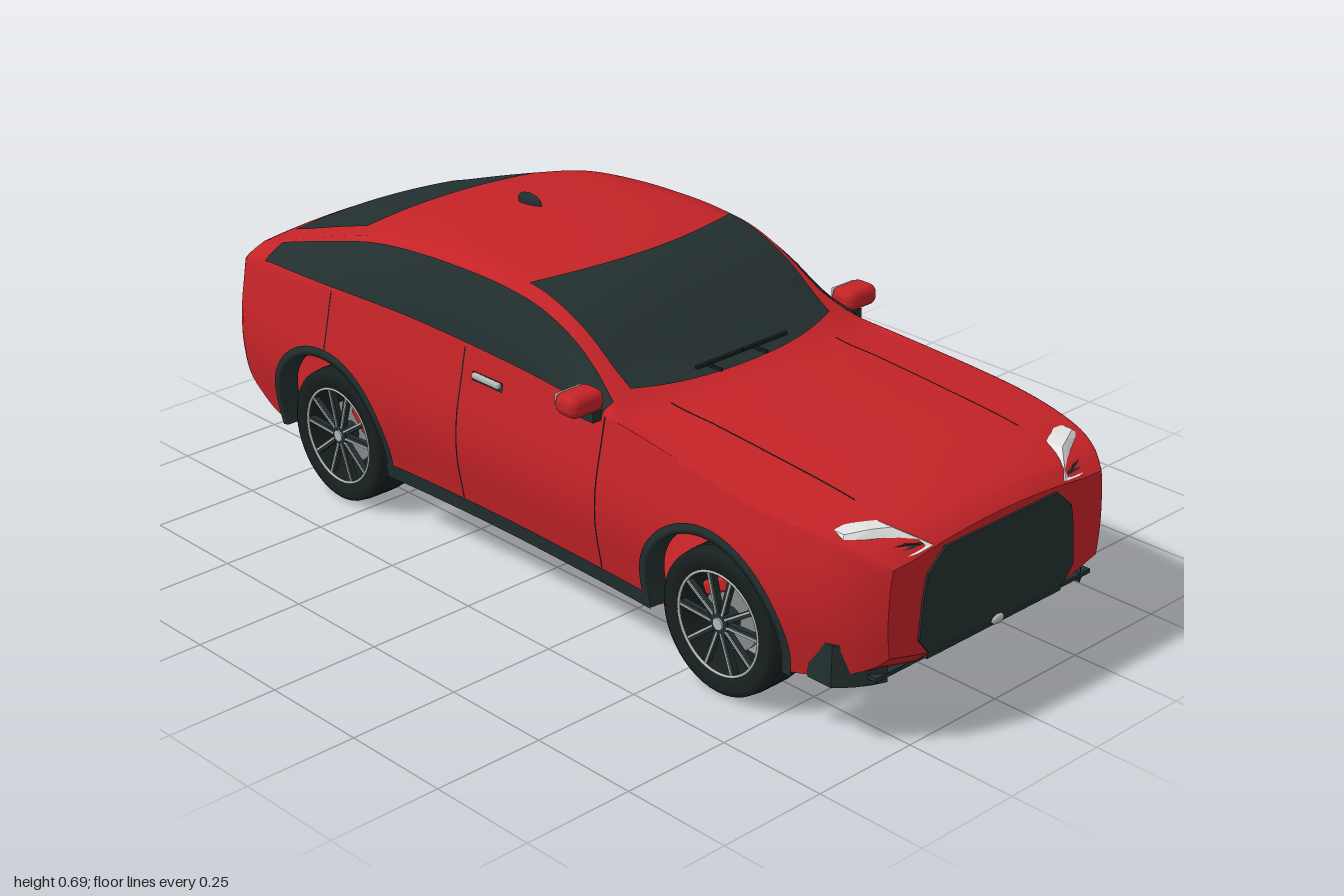
import * as THREE from 'three';
import { RoundedBoxGeometry } from 'three/addons/geometries/RoundedBoxGeometry.js';

const paint = (name, color) => {
  const m = new THREE.MeshStandardMaterial({ color, side: THREE.DoubleSide });
  m.name = name;
  return m;
};

// Smooth interpolation through [position, value] pairs
function curve(pts) {
  const slope = pts.map((p, i) => {
    const a = pts[Math.max(i - 1, 0)], b = pts[Math.min(i + 1, pts.length - 1)];
    return (b[1] - a[1]) / (b[0] - a[0]);
  });
  return (t) => {
    t = Math.min(Math.max(t, pts[0][0]), pts[pts.length - 1][0]);
    let i = 0;
    while (i < pts.length - 2 && t > pts[i + 1][0]) i++;
    const h = pts[i + 1][0] - pts[i][0], s = (t - pts[i][0]) / h, s2 = s * s, s3 = s2 * s;
    return (2 * s3 - 3 * s2 + 1) * pts[i][1] + (s3 - 2 * s2 + s) * h * slope[i]
      + (3 * s2 - 2 * s3) * pts[i + 1][1] + (s3 - s2) * h * slope[i + 1];
  };
}

// Body rules along z: half width, floor, shoulder, centre line, roof rail
const width = curve([[-1, .31], [-.97, .345], [-.9, .378], [-.75, .405], [-.58, .413], [-.3, .395], [0, .39], [.3, .398], [.6, .412], [.75, .408], [.88, .382], [.95, .35], [.99, .315]]);
const floorY = curve([[-1, .19], [-.98, .18], [-.9, .145], [-.8, .108], [-.6, .095], [.7, .095], [.81, .1], [.92, .13], [.97, .155], [.99, .175]]);
const beltY = curve([[-1, .44], [-.9, .475], [-.8, .495], [-.5, .505], [0, .495], [.3, .485], [.5, .47], [.8, .443], [.92, .423], [.99, .39]]);
const topY = curve([[-1, .47], [-.955, .505], [-.84, .544], [-.66, .603], [-.5, .648], [-.34, .669], [-.18, .676], [-.07, .673], [.035, .658], [.14, .615], [.25, .54], [.32, .503], [.46, .493], [.6, .483], [.81, .465], [.92, .445], [.97, .428], [.99, .41]]);
const railX = curve([[-1, .265], [-.9, .29], [-.8, .3], [-.3, .302], [0, .302], [.2, .31], [.3, .335], [.45, .345], [.8, .34], [.92, .305], [.99, .25]]);
const sideProfile = curve([[.09, .93], [.155, .955], [.26, 1], [.345, .995], [.42, .96], [.47, .935], [.52, .91]]);
const sideX = (y, z) => width(z) * sideProfile(y);
const CROWN = .018;
const roofY = (x, z) => topY(z) - CROWN * Math.min(1, (x / railX(z)) ** 2);
// Point between shoulder (s = 0) and roof rail (s = 1)
const cabinSide = (s, z) => {
  const b = beltY(z), x0 = sideX(b, z), y1 = topY(z) - CROWN;
  return [x0 + (railX(z) - x0) * s + .008 * Math.sin(Math.PI * s), b + (y1 - b) * s, z];
};

const WHEELS = [.61, -.58], ARCH_Y = .17, ARCH_R = .183;

// Grid surface from rows of points
function grid(rows) {
  const n = rows[0].length, index = [];
  for (let i = 0; i < rows.length - 1; i++)
    for (let j = 0; j < n - 1; j++) {
      const a = i * n + j, b = a + n;
      index.push(a, a + 1, b, b, a + 1, b + 1);
    }
  const g = new THREE.BufferGeometry();
  g.setAttribute('position', new THREE.Float32BufferAttribute(rows.flat(2), 3));
  g.setIndex(index);
  g.computeVertexNormals();
  return g;
}
const patch = (nu, nv, f) => grid(Array.from({ length: nu + 1 }, (_, i) =>
  Array.from({ length: nv + 1 }, (_, j) => f(i / nu, j / nv))));

// Stations along z, doubled where an arch begins and ends
function stations() {
  const list = [];
  for (let i = 0; i <= 100; i++) {
    const z = -1 + 1.99 * i / 100;
    if (WHEELS.every((c) => Math.abs(z - c) > ARCH_R + .004)) list.push({ z });
  }
  for (const c of WHEELS) {
    list.push({ z: c - ARCH_R - 1e-4 }, { z: c + ARCH_R + 1e-4 });
    for (let k = 0; k <= 24; k++) {
      const a = Math.PI * k / 24;
      list.push({ z: c - ARCH_R * Math.cos(a), arch: ARCH_Y + ARCH_R * Math.sin(a) });
    }
  }
  return list.sort((p, q) => p.z - q.z);
}
function shellRow({ z, arch }) {
  const low = arch ?? floorY(z) + .03, b = beltY(z), half = [];
  for (let i = 0; i < 12; i++) {
    const y = low + (b - low) * i / 12;
    half.push([sideX(y, z), y, z]);
  }
  for (let i = 0; i < 6; i++) half.push(cabinSide(i / 6, z));
  for (let i = 0; i <= 8; i++) {
    const x = railX(z) * (1 - i / 8);
    half.push([x, roofY(x, z), z]);
  }
  return [...half, ...half.slice(0, -1).reverse().map(([x, y, w]) => [-x, y, w])];
}
function floorRow({ z, arch }) {
  const f = floorY(z), e = arch ? .25 : sideX(f + .03, z), m = arch ? .249 : width(z) * .62;
  return [[-e, arch ? f : f + .03, z], [-m, f, z], [0, f, z], [m, f, z], [e, arch ? f : f + .03, z]];
}

export function createModel() {
  const red = paint('body red', 0xc42327), dark = paint('dark trim and glass', 0x232f2f),
    black = paint('tyre black', 0x182020), silver = paint('silver', 0xb4b8b8),
    white = paint('lamp white', 0xe2e4e4), grey = paint('disc grey', 0x858a8a);
  const car = new THREE.Group();
  car.name = 'car';
  const add = (name, geo, mat, pos = [0, 0, 0], parent = car) => {
    const m = new THREE.Mesh(geo, mat);
    m.name = name;
    m.position.set(...pos);
    parent.add(m);
    return m;
  };
  const box = (w, h, d) => new THREE.BoxGeometry(w, h, d);

  // Body shell, floor and end caps
  const st = stations();
  add('bodyShell', grid(st.map(shellRow)), red);
  add('floor', grid(st.map(floorRow)), red);
  for (const [name, s] of [['frontFace', st[st.length - 1]], ['rearFace', st[0]]]) {
    const ring = [...shellRow(s), ...floorRow(s)];
    ring.push(ring[0]);
    add(name, grid([ring, ring.map(() => [0, .3, s.z])]), red);
  }

  // Windscreen and rear window
  add('windscreen', patch(30, 20, (u, v) => {
    const k = u * 2 - 1, x = .29 * k, z = .02 - .05 * k * k + .3 * v;
    return [x, roofY(x, z) + .005, z];
  }), dark);
  add('rearWindow', patch(20, 20, (u, v) => {
    const k = u * 2 - 1, x = k * (.25 - .015 * v), z = -.625 + .015 * k * k - .285 * v;
    return [x, roofY(x, z) + .004, z];
  }), dark);

  // Grille, bumper line and front ornament
  const plate = (pts, depth) => new THREE.ExtrudeGeometry(
    new THREE.Shape(pts.map((p) => new THREE.Vector2(...p))), { depth, bevelEnabled: false });
  const half = [[.2, .178], [.23, .215], [.222, .3], [.212, .35], [.165, .392]];
  add('grille', plate([...half, ...half.map(([x, y]) => [-x, y]).reverse()], .009), dark, [0, 0, .986]);
  add('bumperLine', box(.64, .009, .05), dark, [0, .155, .945]);
  add('bumperLip', box(.4, .008, .03), dark, [0, .167, .975]);
  add('frontOrnament', new THREE.SphereGeometry(.012, 16, 10).scale(1.5, .9, .6), silver, [0, .177, .995]);

  // Wipers and roof fin
  for (const x of [-.066, .066]) {
    const w = add('wiper', box(.13, .006, .008), black, [x, roofY(x, .295) + .012, .295]);
    add('wiperArm', box(.006, .006, .04), black, [-.03, -.004, .018], w);
  }
  add('roofFin', new THREE.SphereGeometry(1, 16, 12).scale(.009, .02, .038), dark, [0, .672, -.355]);

  // Rear plate, bumper inserts and under vent
  add('plateFrame', box(.128, .088, .006), dark, [0, .315, -1.001]);
  add('numberPlate', box(.118, .078, .006), silver, [0, .315, -1.004]);
  add('rearOrnament', new THREE.TorusGeometry(.011, .003, 8, 20).scale(1.3, .8, 1), silver, [0, .257, -1.003]);
  add('rearInsert', box(.3, .042, .012), dark, [0, .219, -.998]);
  add('underVent', box(.4, .01, .06), dark, [0, .107, -.775]);
  for (let i = 0; i < 9; i++) add('ventFin', box(.012, .02, .1), dark, [-.18 + i * .045, .103, -.775]);

  // Parts bent around the front corner
  const cornerPlate = (pts, depth, rake, lift = 0) => {
    const g = plate(pts, depth), p = g.attributes.position;
    for (let i = 0; i < p.count; i++) {
      const x = p.getX(i), y = p.getY(i);
      p.setZ(i, p.getZ(i) - depth + .995 + lift - 2.6 * Math.max(0, x - .19) ** 2 - rake * (y - .4));
    }
    g.computeVertexNormals();
    return g;
  };

  // Everything that exists on both sides
  for (const side of [1, -1]) {
    const s = new THREE.Group();
    s.name = side > 0 ? 'leftSide' : 'rightSide';
    s.scale.x = side;
    car.add(s);
    const put = (name, geo, mat, pos) => add(name, geo, mat, pos, s);
    const onSide = (y, z, off) => [sideX(y, z) + off, y, z];

    put('sideWindow', patch(70, 10, (u, v) => {
      const z = .275 - 1.115 * u, p = cabinSide(.05 + .85 * v, z);
      return [p[0] + .004, p[1] + .002, z];
    }), dark);
    put('sill', patch(40, 3, (u, v) => onSide(.12 + .036 * v, .43 - .83 * u, .006)), dark);
    for (const [z, low] of [[.28, .155], [-.155, .155], [-.58, .36]])
      put('panelGap', patch(14, 1, (u, v) => onSide(low + (beltY(z) - low) * u, z + .004 * v, .002)), black);
    put('hoodGap', patch(30, 1, (u, v) => {
      const x = .238 + .004 * v, z = .335 + .495 * u;
      return [x, roofY(x, z) + .002, z];
    }), black);
    put('handleRecess', patch(8, 3, (u, v) => onSide(.438 + .02 * v, -.025 - .095 * u, .003)), dark);
    put('doorHandle', new RoundedBoxGeometry(.012, .014, .085, 3, .005), silver, [sideX(.45, -.07) + .007, .451, -.072]);

    // Headlight and corner intake
    put('headlight', cornerPlate([[.195, .404], [.24, .4], [.3, .398], [.35, .399], [.357, .415], [.335, .438], [.29, .442], [.25, .44], [.22, .422]], .04, 1.3), white);
    put('headlightStrip', cornerPlate([[.215, .411], [.25, .409], [.3, .408], [.352, .407], [.353, .412], [.3, .414], [.25, .416]], .01, 1.3, .003), dark);
    put('cornerIntake', cornerPlate([[.288, .14], [.315, .137], [.345, .135], [.375, .135], [.375, .225], [.345, .225], [.315, .225], [.288, .225]], .06, 0), dark);
    put('rearReflector', box(.05, .018, .03), dark, [.27, .215, -.985]);

    // Mirror
    put('mirror', new RoundedBoxGeometry(.09, .048, .065, 4, .02), red, [.4, .515, .24]);
    put('mirrorGlass', new RoundedBoxGeometry(.07, .034, .006, 2, .003), silver, [.4, .515, .207]);
    put('mirrorArm', box(.04, .022, .04), dark, [.372, .485, .25]);

    WHEELS.forEach((zc, w) => {
      // Arch trim with an inward lip
      put('archTrim', patch(40, 3, (u, v) => {
        const a = -.25 + (Math.PI + .5) * u, r = v < .5 ? ARCH_R - .001 : v < .9 ? .192 : .203;
        const y = ARCH_Y + r * Math.sin(a), z = zc + r * Math.cos(a);
        return onSide(y, z, v === 0 ? -.045 : .005);
      }), dark);

      // Wheel, built around its own axle
      const wheel = new THREE.Group();
      wheel.name = w ? 'rearWheel' : 'frontWheel';
      wheel.position.set(.325, .155, zc);
      s.add(wheel);
      const part = (name, geo, mat, pos, parent = wheel) => add(name, geo, mat, pos, parent);
      const profile = [[.112, -.055], [.14, -.06], [.152, -.053]];
      for (const g of [-.025, 0, .025]) profile.push([.155, g - .005], [.149, g - .003], [.149, g + .003], [.155, g + .005]);
      profile.push([.152, .053], [.14, .06], [.112, .055], [.106, .045], [.106, -.05], [.112, -.055]);
      part('tyre', new THREE.LatheGeometry(profile.map((p) => new THREE.Vector2(...p)), 48).rotateZ(-Math.PI / 2), black);
      part('rimLip', new THREE.TorusGeometry(.109, .003, 8, 48).rotateY(Math.PI / 2), silver, [.054, 0, 0]);
      const drum = (r, h) => new THREE.CylinderGeometry(r, r, h, 32).rotateZ(Math.PI / 2);
      part('brakeDisc', drum(.07, .01), grey, [.01, 0, 0]);
      part('hub', drum(.024, .05), dark, [.027, 0, 0]);
      part('hubCap', drum(.013, .006), silver, [.053, 0, 0]);
      const caliper = part('brakeCaliper', new RoundedBoxGeometry(.03, .03, .065, 3, .008), red,
        w ? [.018, .048, .05] : [.018, .06, -.035]);
      caliper.rotation.x = w ? .8 : -.5;
      for (let i = 0; i < 5; i++) {
        const spoke = new THREE.Group();
        spoke.name = 'spoke';
        spoke.rotation.x = i * Math.PI * 2 / 5;
        wheel.add(spoke);
        for (const k of [-1, 1]) {
          const arm = part('spokeArm', box(.012, .092, .012), dark, [.044, .063, k * .017], spoke);
          arm.rotation.x = k * .27;
          part('spokeFace', box(.003, .088, .005), silver, [.007, 0, k * .003], arm);
        }
      }
    });
  }
  return car;
}
